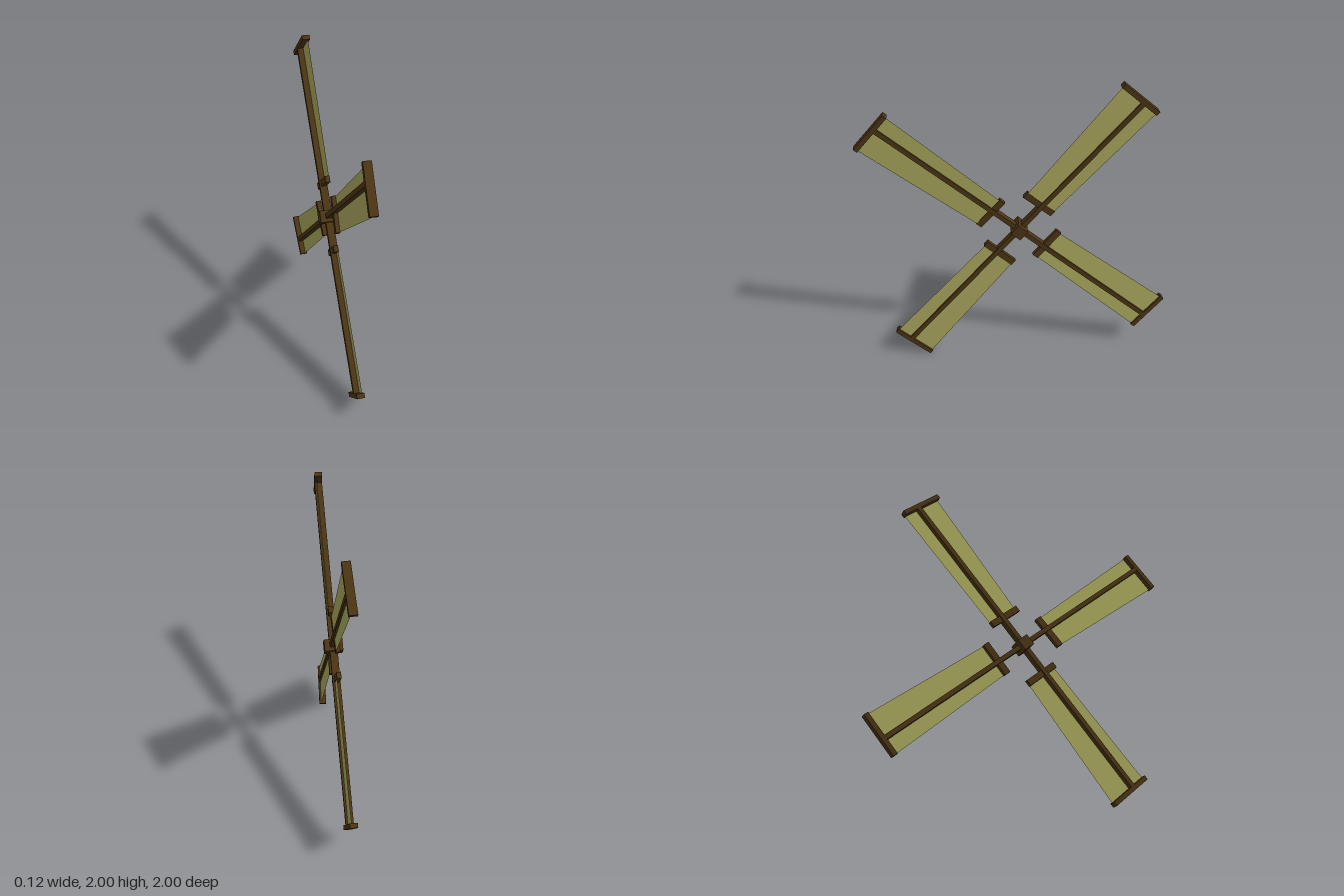
import * as THREE from 'three';

const wood = new THREE.MeshStandardMaterial({ color: 0x4a3414 });
const cloth = new THREE.MeshStandardMaterial({ color: 0xa8a65c, side: THREE.DoubleSide });

// Box given by its ranges along the arm (y) and across it (z), centred in x
function beam(name, depth, [y0, y1], [z0, z1]) {
  const geometry = new THREE.BoxGeometry(depth, y1 - y0, z1 - z0);
  geometry.translate(0, (y0 + y1) / 2, (z0 + z1) / 2);
  const mesh = new THREE.Mesh(geometry, wood);
  mesh.name = name;
  return mesh;
}

// Tapered cloth panel, wider on the leading side
function sailCloth() {
  const outline = new THREE.Shape([
    new THREE.Vector2(-0.09, 0.22),
    new THREE.Vector2(0.135, 0.22),
    new THREE.Vector2(0.175, 1.145),
    new THREE.Vector2(-0.112, 1.145),
  ]);
  const geometry = new THREE.ShapeGeometry(outline);
  geometry.rotateY(-Math.PI / 2);
  const mesh = new THREE.Mesh(geometry, cloth);
  mesh.name = 'sailCloth';
  mesh.position.x = 0.012;
  return mesh;
}

// One arm pointing up +y: spar, crossbars and slightly pitched cloth
function sailArm(pitch) {
  const arm = new THREE.Group();
  arm.name = 'sailArm';
  arm.add(beam('spar', 0.05, [0, 1.15], [-0.015, 0.015]));

  const panel = new THREE.Group();
  panel.name = 'sailPanel';
  panel.rotation.y = pitch;
  panel.add(
    beam('innerCrossbar', 0.03, [0.2, 0.243], [-0.095, 0.14]),
    beam('tipCrossbar', 0.05, [1.135, 1.165], [-0.116, 0.18]),
    sailCloth(),
  );
  arm.add(panel);
  return arm;
}

export function createModel() {
  const model = new THREE.Group();
  model.name = 'windmillSails';

  const rotor = new THREE.Group();
  rotor.name = 'rotor';
  rotor.position.y = 1;
  rotor.rotation.x = -0.712;
  model.add(rotor);

  rotor.add(beam('hub', 0.12, [-0.039, 0.039], [-0.039, 0.039]));

  // Four arms at right angles, pitched alternately
  for (let i = 0; i < 4; i++) {
    const arm = sailArm(i % 2 ? -0.04 : 0.04);
    arm.rotation.x = (i * Math.PI) / 2;
    rotor.add(arm);
  }
  return model;
}
